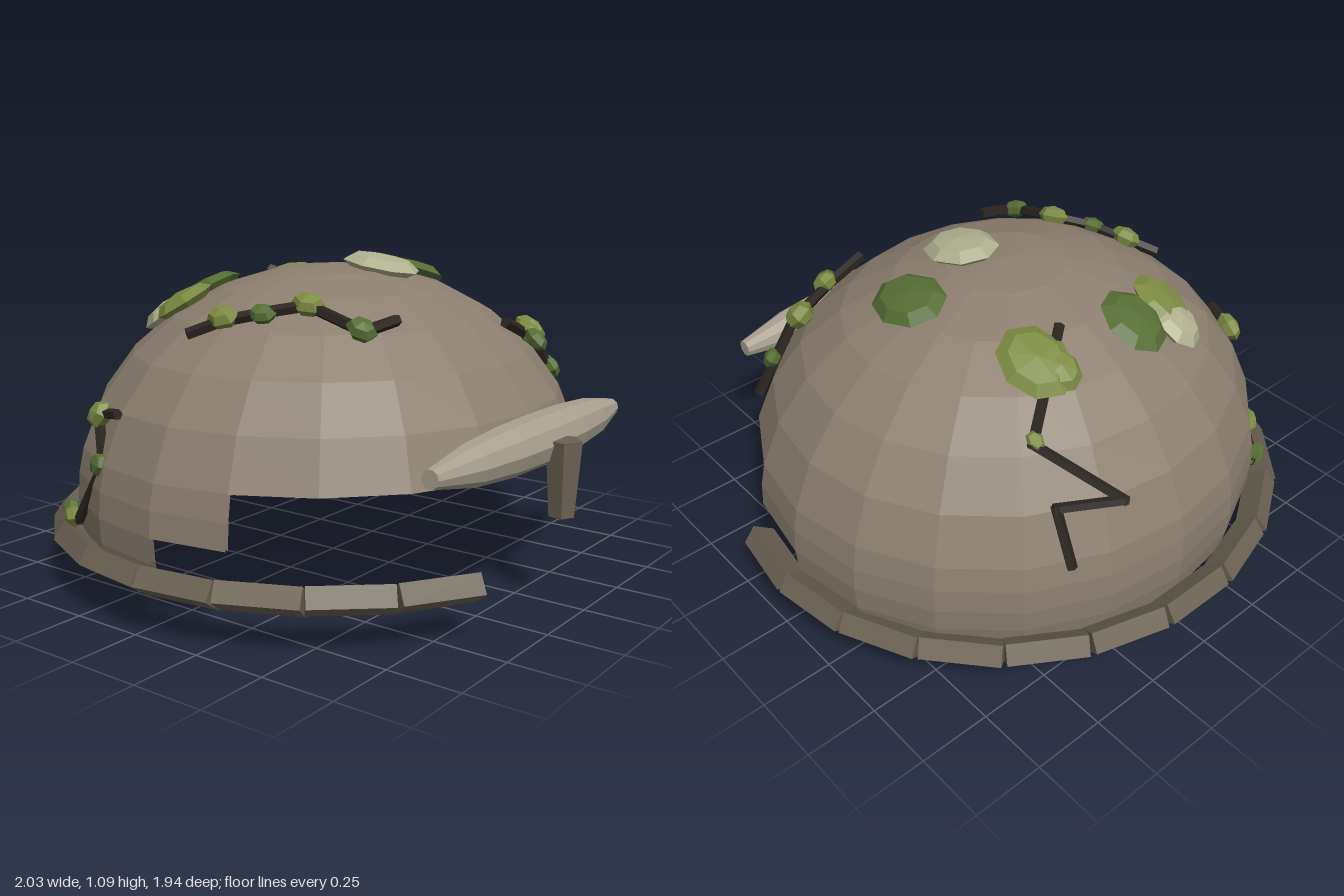
import * as THREE from 'three';

const mat = (color, side = THREE.FrontSide) =>
  new THREE.MeshStandardMaterial({ color, flatShading: true, side });
const stone = mat(0x8c7f70, THREE.DoubleSide);
const darkStone = mat(0x6b6253);
const paleStone = mat(0xa8a08f);
const bark = mat(0x2a2420);
const green = mat(0x566d34);
const olive = mat(0x7c8a42);
const lichen = mat(0xb0b090);

const R = { x: 0.93, y: 0.76, z: 0.87 }; // dome radii
const BASE = 0.28;                       // height of the dome's widest ring
const UP = new THREE.Vector3(0, 1, 0);

function add(parent, name, geometry, material) {
  const mesh = new THREE.Mesh(geometry, material);
  mesh.name = name;
  parent.add(mesh);
  return mesh;
}

// Height of the dome over a point on the ground
const domeY = (x, z) =>
  BASE + R.y * Math.sqrt(Math.max(0, 1 - (x / R.x) ** 2 - (z / R.z) ** 2));

// Outward direction of the dome at a point
const domeNormal = (p) =>
  new THREE.Vector3(p.x / R.x ** 2, (p.y - BASE) / R.y ** 2, p.z / R.z ** 2).normalize();

// Flattened faceted clump lying on the dome
function clump(parent, name, p, size, material, sides = 8, turn = 0) {
  const geo = new THREE.SphereGeometry(1, sides, 4).rotateY(turn);
  const mesh = add(parent, name, geo, material);
  mesh.scale.set(...size);
  mesh.position.copy(p);
  mesh.quaternion.setFromUnitVectors(UP, domeNormal(p));
}

// Twig between two points
function twig(parent, a, b, radius) {
  const dir = b.clone().sub(a);
  const mesh = add(parent, 'twig', new THREE.CylinderGeometry(radius, radius, dir.length() + radius, 5), bark);
  mesh.position.copy(a).add(b).multiplyScalar(0.5);
  mesh.quaternion.setFromUnitVectors(UP, dir.normalize());
}

// Dome in three bands, the lower ones open at the front, with an inner skin
function buildDome() {
  const dome = new THREE.Group();
  dome.name = 'dome';
  const row = Math.PI / 14, col = Math.PI / 10;
  const bands = [
    ['crown', 20, 0, 0, 6],
    ['sideBand', 12, 9, 6, 1],
    ['neckBand', 10, 10, 7, 1],
  ];
  for (const [skin, k] of [['Outer', 1], ['Inner', 0.98]]) {
    for (const [name, cols, startCol, startRow, rows] of bands) {
      const geo = new THREE.SphereGeometry(1, cols, rows, startCol * col, cols * col, startRow * row, rows * row);
      geo.scale(R.x * k, R.y * k, R.z * k);
      add(dome, name + skin, geo, stone).position.y = BASE;
    }
  }
  return dome;
}

// Rim of tilted blocks, left unfinished at the front
function buildRim() {
  const rim = new THREE.Group();
  rim.name = 'rim';
  const step = (Math.PI * 2) / 22;
  for (let i = -9; i <= 6; i++) {
    const a = i * step;
    const block = add(rim, 'rimBlock', new THREE.BoxGeometry(0.265, 0.07, 0.085), darkStone);
    block.position.set(0.95 * Math.sin(a), 0.157, -0.917 * Math.cos(a));
    block.rotation.order = 'YXZ';
    block.rotation.set(-0.6, Math.PI - a, 0);
  }
  return rim;
}

// Tapered brow bar, slightly bowed backwards at the ends
function buildBrow() {
  const geo = new THREE.CylinderGeometry(1, 1, 2, 10, 6).rotateZ(Math.PI / 2);
  const pos = geo.attributes.position;
  for (let i = 0; i < pos.count; i++) {
    const t = pos.getX(i);
    const r = 0.087 * Math.sqrt(1 - 0.88 * t * t);
    pos.setXYZ(i, t * 0.6, 0.525 + pos.getY(i) * r, 0.81 - 0.02 * t * t + pos.getZ(i) * r);
  }
  geo.computeVertexNormals();
  return geo;
}

// Vines: path points, twig radius, then leaves as [x, y, z, size]
const vines = [
  {
    path: [[0.2, 0.855, 0.58], [0.34, 0.8, 0.58], [0.54, 0.78, 0.5], [0.69, 0.515, 0.54]],
    leaves: [[0.35, 0.805, 0.59, 0.06], [0.32, 0.79, 0.63, 0.05], [0.52, 0.785, 0.5, 0.07], [0.63, 0.64, 0.53, 0.05]],
    radius: 0.02,
  },
  {
    path: [[-0.625, 0.86, -0.1], [-0.555, 0.9, -0.015], [-0.49, 0.93, 0.11], [-0.41, 0.95, 0.21], [-0.42, 0.89, 0.43], [-0.285, 0.91, 0.455]],
    leaves: [[-0.555, 0.91, -0.02, 0.06], [-0.505, 0.925, 0.1, 0.05], [-0.41, 0.955, 0.21, 0.06], [-0.415, 0.895, 0.42, 0.055]],
    radius: 0.02,
  },
  {
    path: [[0.1, 0.985, -0.36], [0.39, 0.79, -0.56], [0.21, 0.61, -0.785], [0.41, 0.63, -0.69], [0.42, 0.46, -0.775]],
    leaves: [[0.38, 0.8, -0.56, 0.035]],
    radius: 0.018,
  },
  {
    path: [[-0.81, 0.61, -0.25], [-0.775, 0.59, -0.37], [-0.83, 0.44, -0.3], [-0.8, 0.22, -0.46], [-0.66, 0.19, -0.64], [-0.565, 0.01, -0.63]],
    leaves: [[-0.78, 0.59, -0.36, 0.06], [-0.83, 0.44, -0.31, 0.055], [-0.79, 0.22, -0.5, 0.05], [-0.68, 0.19, -0.63, 0.055]],
    radius: 0.018,
  },
];

// Moss patches: x, z, half width, half length, material
const patches = [
  [0.07, 0.155, 0.12, 0.145, lichen],
  [0.36, 0.07, 0.115, 0.15, green],
  [0.235, -0.4, 0.115, 0.14, olive],
  [0.19, -0.46, 0.07, 0.08, olive],
  [-0.16, -0.44, 0.115, 0.13, green],
  [-0.34, -0.4, 0.105, 0.13, olive],
  [-0.335, -0.47, 0.095, 0.11, lichen],
];

export function createModel() {
  const model = new THREE.Group();
  model.name = 'mossyStoneHelmet';
  model.add(buildDome(), buildRim());

  add(model, 'browBar', buildBrow(), paleStone);
  const nose = add(model, 'noseGuard', new THREE.CylinderGeometry(0.06, 0.042, 0.25, 5), darkStone);
  nose.position.set(0, 0.415, 0.907);
  nose.rotation.y = 0.15;

  const moss = new THREE.Group();
  moss.name = 'moss';
  model.add(moss);
  for (const [x, z, w, l, material] of patches) {
    clump(moss, 'mossPatch', new THREE.Vector3(x, domeY(x, z) + 0.01, z), [w, 0.04, l], material);
  }

  for (const { path, leaves, radius } of vines) {
    const vine = new THREE.Group();
    vine.name = 'vine';
    model.add(vine);
    const pts = path.map((p) => new THREE.Vector3(...p));
    for (let i = 1; i < pts.length; i++) twig(vine, pts[i - 1], pts[i], radius);
    leaves.forEach(([x, y, z, s], i) =>
      clump(vine, 'leaf', new THREE.Vector3(x, y, z), [s * 0.8, s * 0.6, s], i % 2 ? green : olive, 6, i));
  }
  return model;
}
